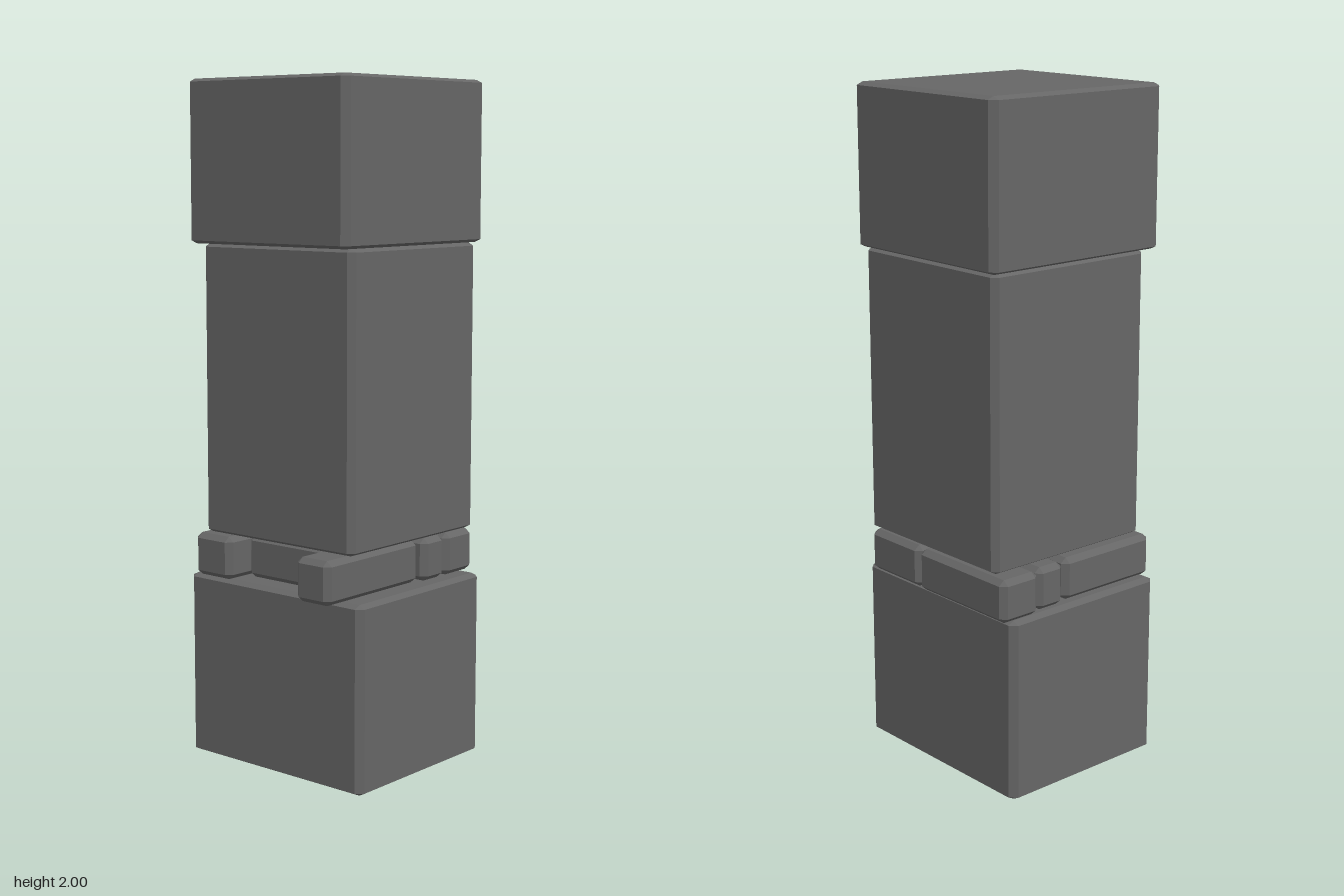
import * as THREE from 'three';
import { ConvexGeometry } from 'three/addons/geometries/ConvexGeometry.js';

const stone = new THREE.MeshStandardMaterial({ color: 0x666666, flatShading: true });

// Box with chamfered edges and corners, given by its extents on each axis;
// rise is the height of the top and bottom chamfers
function block(name, [x0, x1], [y0, y1], [z0, z1], bevel, rise) {
  const half = [(x1 - x0) / 2, (y1 - y0) / 2, (z1 - z0) / 2];
  const inset = [bevel, rise, bevel];
  const points = [];
  for (const sx of [-1, 1]) for (const sy of [-1, 1]) for (const sz of [-1, 1]) {
    // each corner becomes three points, one on each adjoining face
    for (let face = 0; face < 3; face++) {
      const [a, b, c] = half.map((h, i) => (i === face ? h : h - inset[i]));
      points.push(new THREE.Vector3(sx * a, sy * b, sz * c));
    }
  }
  const mesh = new THREE.Mesh(new ConvexGeometry(points), stone);
  mesh.position.set((x0 + x1) / 2, (y0 + y1) / 2, (z0 + z1) / 2);
  mesh.name = name;
  return mesh;
}

export function createModel() {
  const pillar = new THREE.Group();
  pillar.name = 'stonePillar';

  // Large stacked blocks with shallow top and bottom chamfers
  pillar.add(
    block('baseBlock', [-0.333, 0.333], [0, 0.55], [-0.295, 0.268], 0.02, 0.01),
    block('shaftBlock', [-0.28, 0.29], [0.68, 1.532], [-0.315, 0.255], 0.018, 0.01),
    block('capBlock', [-0.3, 0.302], [1.532, 2], [-0.335, 0.295], 0.02, 0.009),
  );

  // Course of loose bricks between base and shaft: [name, x extent, z extent]
  const course = new THREE.Group();
  course.name = 'brickCourse';
  const bricks = [
    ['backLongBrick', [-0.326, 0.052], [-0.325, -0.187]],
    ['backShortBrick', [0.056, 0.285], [-0.32, -0.187]],
    ['crossBrick', [-0.314, 0.285], [-0.182, -0.082]],
    ['leftBrick', [-0.305, -0.16], [-0.072, 0.275]],
    ['middleBrick', [-0.158, 0.143], [-0.075, 0.2]],
    ['rightBrick', [0.145, 0.27], [-0.076, 0.333]],
  ];
  for (const [name, x, z] of bricks) course.add(block(name, x, [0.55, 0.677], z, 0.018, 0.015));
  pillar.add(course);

  return pillar;
}
